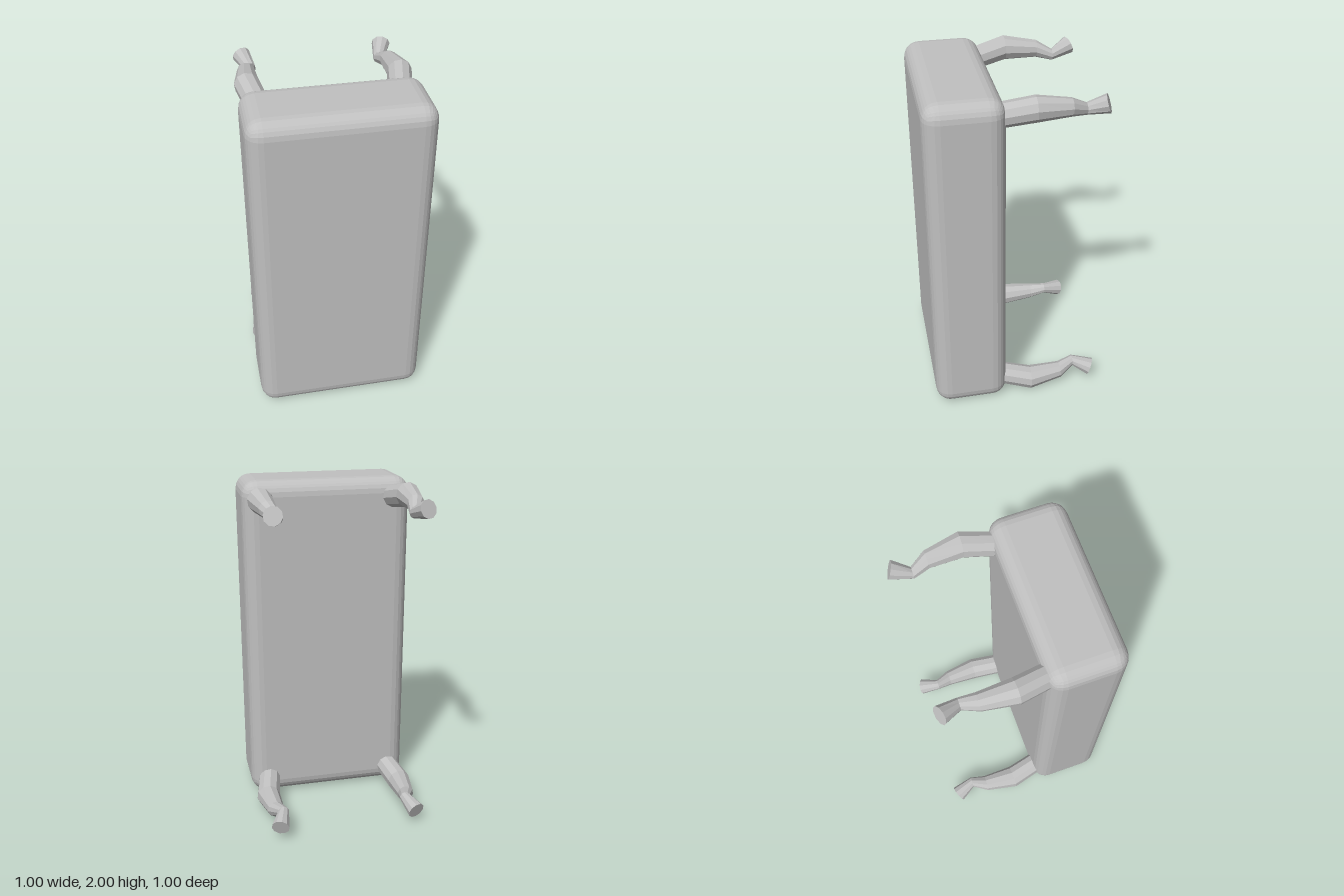
import * as THREE from 'three';
import { RoundedBoxGeometry } from 'three/addons/geometries/RoundedBoxGeometry.js';

const SIDES = 10;

// Cross-sections of one leg: [distance in from the body corner in x and y, z, radius, tilt]
const SECTIONS = [
  [-0.114, 0.10, 0.068, 0],
  [-0.075, -0.09, 0.071, 0.04],
  [-0.09, -0.28, 0.05, -0.06],
  [-0.122, -0.37, 0.033, 0],
  [-0.085, -0.479, 0.053, 0.44],
];

// Faceted tube running backwards; local +x points out along the corner diagonal
function legGeometry() {
  const points = [];
  const index = [];
  for (const [inset, z, r, tilt] of SECTIONS) {
    for (let j = 0; j < SIDES; j++) {
      const a = (j / SIDES) * Math.PI * 2;
      const u = r * Math.cos(a);
      points.push(inset * Math.SQRT2 + u * Math.cos(tilt), r * Math.sin(a), z + u * Math.sin(tilt));
    }
  }
  for (let i = 0; i < SECTIONS.length - 1; i++) {
    for (let j = 0; j < SIDES; j++) {
      const k = (j + 1) % SIDES;
      const a = i * SIDES + j, b = i * SIDES + k;
      index.push(a, a + SIDES, b, b, a + SIDES, b + SIDES);
    }
  }
  // Flat foot cap
  const last = (SECTIONS.length - 1) * SIDES;
  const [inset, z] = SECTIONS[SECTIONS.length - 1];
  points.push(inset * Math.SQRT2, 0, z);
  for (let j = 0; j < SIDES; j++) {
    index.push(last + SIDES, last + ((j + 1) % SIDES), last + j);
  }
  const geometry = new THREE.BufferGeometry();
  geometry.setAttribute('position', new THREE.Float32BufferAttribute(points, 3));
  geometry.setIndex(index);
  geometry.computeVertexNormals();
  return geometry;
}

export function createModel() {
  const model = new THREE.Group();
  model.name = 'footedBlock';
  const grey = new THREE.MeshStandardMaterial({ color: 0xc0c0c0, flatShading: true });
  grey.name = 'light grey';

  // Rounded body
  const body = new THREE.Mesh(new RoundedBoxGeometry(1, 2, 0.435, 3, 0.09), grey);
  body.name = 'body';
  body.position.set(0, 1, 0.2825);
  model.add(body);

  // One curved leg at each corner of the back
  const geometry = legGeometry();
  for (const sx of [-1, 1]) {
    for (const sy of [-1, 1]) {
      const leg = new THREE.Mesh(geometry, grey);
      leg.name = (sy > 0 ? 'upper' : 'lower') + (sx > 0 ? 'Left' : 'Right') + 'Leg';
      leg.position.set(sx * 0.5, 1 + sy, 0);
      leg.rotation.z = Math.atan2(sy, sx);
      model.add(leg);
    }
  }
  return model;
}
